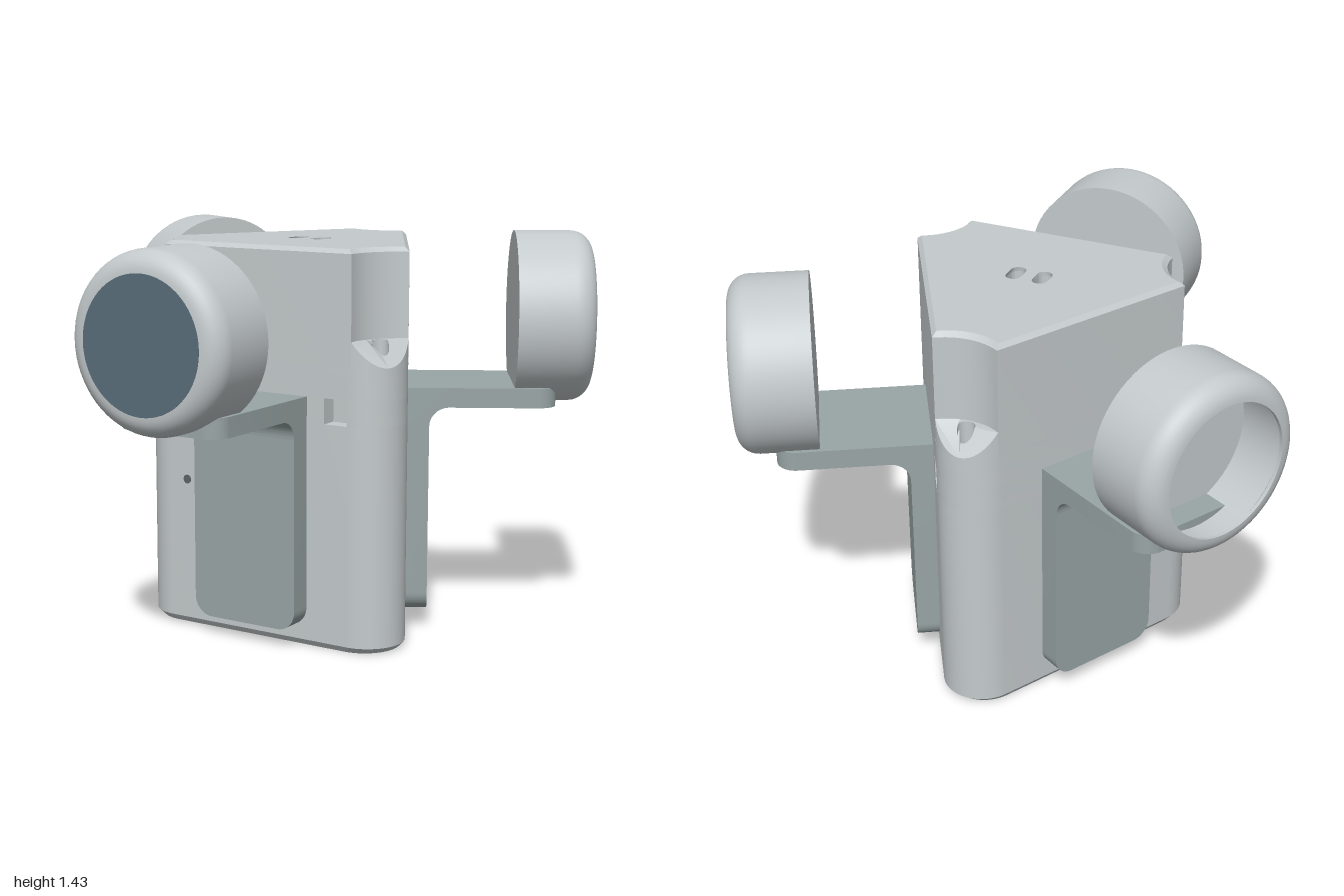
import * as THREE from 'three';
import { mergeGeometries, toCreasedNormals } from 'three/addons/utils/BufferGeometryUtils.js';

const R = 0.43, r = 0.137;          // corner centre distance and corner radius
const FACE = R / 2 + r;             // distance of each flat face from the axis
const CZ = -0.137;                  // z of the body axis
const rad = THREE.MathUtils.degToRad;
const crease = (g, a = 0.5) => toCreasedNormals(g, a);

// point at distance d along angle a (degrees), shifted s sideways
function at(a, d, s) {
  const c = Math.cos(rad(a)), n = Math.sin(rad(a));
  return new THREE.Vector2(c * d - n * s, n * d + c * s);
}
const outerArc = (a, span) => Array.from({ length: 17 }, (_, i) => {
  const t = rad(-span + (2 * span * i) / 16);
  return at(a, R + r * Math.cos(t), r * Math.sin(t));
});
const hollowArc = (a) => Array.from({ length: 13 }, (_, i) => {
  const v = -0.112 + (0.224 * i) / 12;
  return at(a, 0.675 - Math.sqrt(0.04 - v * v), v);
});

// rounded triangle, optionally with scooped corners or window recesses
function outline({ scooped = false, windows = false }) {
  const pts = [];
  for (const a of [90, 210, 330]) {
    const arc = outerArc(a, 60);
    pts.push(...(scooped ? [arc[0], ...hollowArc(a), arc[16]] : arc));
    if (windows) {
      for (const [d, s] of [[FACE, 0.28], [FACE - 0.06, 0.28], [FACE - 0.06, 0.37], [FACE, 0.37]])
        pts.push(at(a + 60, d, s));
    }
  }
  const shape = new THREE.Shape(pts);
  for (const x of [-0.05, 0.05]) {
    const slot = new THREE.Path();
    slot.absarc(x, 0.022, 0.028, 0, Math.PI);
    slot.absarc(x, -0.022, 0.028, Math.PI, Math.PI * 2);
    slot.closePath();
    shape.holes.push(slot);
  }
  return shape;
}

// horizontal slab from y0 to y1; rule may move its vertices
function slab(shape, y0, y1, rule) {
  const g = new THREE.ExtrudeGeometry(shape, { depth: y1 - y0, bevelEnabled: false, curveSegments: 12 });
  g.rotateX(-Math.PI / 2).translate(0, y0, 0);
  if (rule) {
    const p = g.attributes.position, v = new THREE.Vector3();
    for (let i = 0; i < p.count; i++) {
      rule(v.fromBufferAttribute(p, i));
      p.setXYZ(i, v.x, v.y, v.z);
    }
  }
  return crease(g);
}
const inset = (level) => (v) => {
  if (Math.abs(v.y - level) < 0.001) { v.x *= 0.957; v.z *= 0.957; }
};

// plate with two rounded corners at its low end
function plateShape(w, y0, y1, c) {
  const s = new THREE.Shape();
  s.moveTo(w, y1);
  s.lineTo(-w, y1);
  s.lineTo(-w, y0 + c);
  s.absarc(-w + c, y0 + c, c, Math.PI, Math.PI * 1.5);
  s.absarc(w - c, y0 + c, c, Math.PI * 1.5, Math.PI * 2);
  s.closePath();
  return s;
}

function bracketGeometry() {
  const front = FACE + 0.08, f = 0.07, w = 0.21;
  const upright = crease(new THREE.ExtrudeGeometry(plateShape(w, 0.07, 0.75, 0.07),
    { depth: 0.08, bevelEnabled: false })).translate(0, 0, FACE);
  const shelf = slab(plateShape(w, -0.88, -(front + f), 0.07), 0.82, 0.89);
  // filleted elbow, profile drawn in (z, y)
  const p = new THREE.Shape();
  p.moveTo(FACE, 0.75);
  p.lineTo(front, 0.75);
  p.absarc(front + f, 0.75, f, Math.PI, Math.PI / 2, true);
  p.lineTo(front + f, 0.89);
  p.lineTo(FACE, 0.89);
  p.closePath();
  const elbow = crease(new THREE.ExtrudeGeometry(p, { depth: w * 2, bevelEnabled: false }));
  elbow.rotateY(-Math.PI / 2).translate(w, 0, 0);
  return mergeGeometries([upright, shelf, elbow]);
}

function cupGeometry() {
  const pts = [[0, 0], [0.305, 0]];
  for (let i = 0; i <= 8; i++) {
    const t = (i / 8) * Math.PI / 2;
    pts.push([0.23 + 0.075 * Math.cos(t), 0.2 + 0.075 * Math.sin(t)]);
  }
  pts.push([0.23, 0.262], [0.265, 0.235], [0.265, 0.06], [0, 0.06]);
  const g = new THREE.LatheGeometry(pts.map(([x, y]) => new THREE.Vector2(x, y)), 64);
  return crease(g.rotateX(Math.PI / 2), 0.6);
}

export function createModel() {
  const material = (name, color) => {
    const m = new THREE.MeshStandardMaterial({ color });
    m.name = name;
    return m;
  };
  const shell = material('light grey shell', 0xc4cacc);
  const metal = material('grey green bracket', 0x99a5a5);
  const glass = material('dark blue glass', 0x586d7a);
  const dark = material('dark hole', 0x5c6468);

  const model = new THREE.Group();
  model.name = 'threeArmedDevice';
  const core = new THREE.Group();
  core.name = 'core';
  core.position.z = CZ;
  model.add(core);
  const add = (parent, name, geo, mat) => {
    const m = new THREE.Mesh(geo, mat);
    m.name = name;
    parent.add(m);
    return m;
  };

  // body: stacked sections with chamfered ends, recessed windows and scooped corners
  const plain = outline({}), scooped = outline({ scooped: true });
  add(core, 'body', mergeGeometries([
    slab(plain, 0, 0.022, inset(0)),
    slab(plain, 0.022, 0.8),
    slab(outline({ windows: true }), 0.8, 0.89),
    slab(plain, 0.89, 1.0),
    slab(scooped, 1.0, 1.385),
    slab(scooped, 1.385, 1.4, inset(1.4)),
  ]), shell);

  // sloping corner ledge with a screw hole
  const ledge = new THREE.Shape([...outerArc(90, 54.8), ...hollowArc(90).reverse()]);
  const hole = new THREE.Path();
  hole.absarc(0, 0.511, 0.03, 0, Math.PI * 2);
  ledge.holes.push(hole);
  const ledgeGeo = slab(ledge, 1.0, 1.09, (v) => {
    if (v.y > 1.05) v.y = 1.09 - Math.max(0, -v.z - 0.509) * 1.53;
  });
  const screwGeo = new THREE.CylinderGeometry(0.013, 0.013, 0.006, 20).translate(0, 1.003, -0.511);

  const bracketGeo = bracketGeometry();
  const cupGeo = cupGeometry();

  for (let k = 0; k < 3; k++) {
    const arm = new THREE.Group();
    arm.name = ['frontArm', 'leftArm', 'rightArm'][k];
    arm.rotation.y = (k * Math.PI * 2) / 3;
    core.add(arm);
    add(arm, 'bracket', bracketGeo, metal);
    add(arm, 'cup', cupGeo, shell).position.set(0, 1.125, 0.732);
    add(arm, 'cornerLedge', ledgeGeo, shell);
    add(arm, 'screwHole', screwGeo, dark);
    if (k > 0) continue;
    // only the front arm carries a glass and the two pin holes
    const disc = new THREE.CylinderGeometry(0.23, 0.23, 0.008, 64).rotateX(Math.PI / 2);
    add(arm, 'frontGlass', disc, glass).position.set(0, 1.125, 1.004);
    for (const y of [0.8, 0.54]) {
      const pin = new THREE.CylinderGeometry(0.016, 0.016, 0.004, 20).rotateX(Math.PI / 2);
      add(arm, 'pinHole', pin, dark).position.set(-0.3, y, FACE);
    }
  }
  return model;
}
